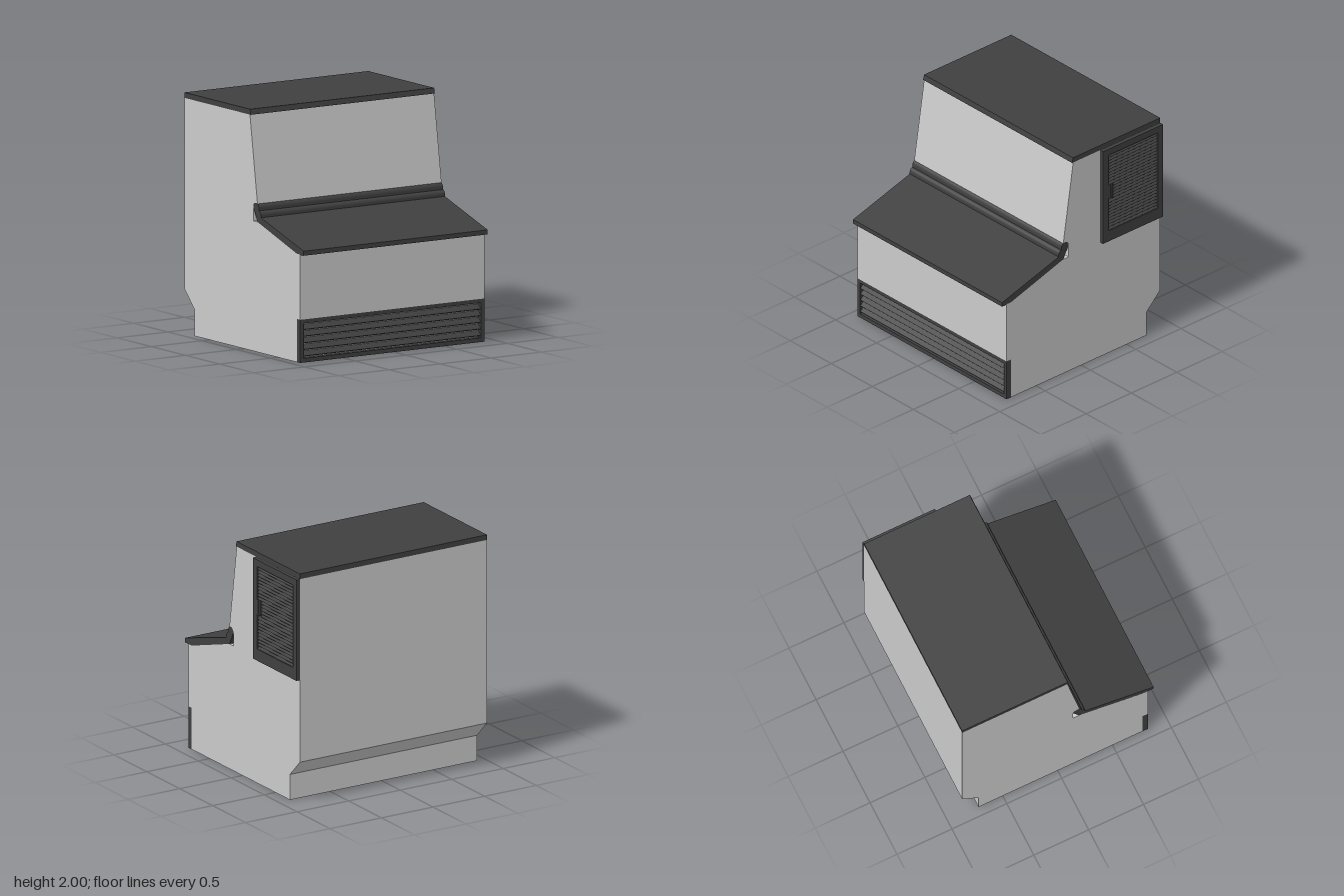
import * as THREE from 'three';

const LEFT = 0.89, RIGHT = -0.925;
const grey = new THREE.MeshStandardMaterial({ color: 0xcccccc });
const dark = new THREE.MeshStandardMaterial({ color: 0x404040 });

// Side profile drawn in (z, y), extruded from x = xMax towards -x
function sideExtrude(name, shape, material, xMax = LEFT, depth = LEFT - RIGHT) {
  const geo = new THREE.ExtrudeGeometry(shape, { depth, bevelEnabled: false, curveSegments: 8 });
  geo.rotateY(-Math.PI / 2).translate(xMax, 0, 0);
  const mesh = new THREE.Mesh(geo, material);
  mesh.name = name;
  return mesh;
}

function polygon(points) {
  return new THREE.Shape(points.map(([a, b]) => new THREE.Vector2(a, b)));
}

function rectangle(a0, b0, a1, b1) {
  return polygon([[a0, b0], [a1, b0], [a1, b1], [a0, b1]]);
}

function box(name, w, h, d, x, y, z) {
  const mesh = new THREE.Mesh(new THREE.BoxGeometry(w, h, d), dark);
  mesh.name = name;
  mesh.position.set(x, y, z);
  return mesh;
}

// Cabinet, with recesses for the kick grille and the counter trim
function buildBody() {
  const s = new THREE.Shape();
  s.moveTo(-0.72, 0);
  s.lineTo(0.775, 0);
  s.lineTo(0.775, 0.358);
  s.lineTo(0.825, 0.358);
  s.lineTo(0.825, 0.9);
  s.lineTo(0.775, 0.9);
  s.lineTo(0.2, 1.08);
  s.lineTo(0.14, 1.08);
  s.absarc(0.18, 1.195, 0.04, Math.PI, Math.PI / 3, true);
  s.lineTo(0.09, 1.955);
  s.lineTo(-0.87, 1.955);
  s.lineTo(-0.87, 0.37);
  s.lineTo(-0.72, 0.22);
  s.closePath();
  return sideExtrude('cabinetBody', s, grey);
}

// Sloping counter with the two rounded mouldings along its back edge
function buildCounter() {
  const s = new THREE.Shape();
  s.moveTo(0.14, 1.08);
  s.absarc(0.18, 1.195, 0.04, Math.PI, 0, true);
  s.lineTo(0.22, 1.174);
  s.absarc(0.215, 1.14, 0.035, Math.PI * 0.45, 0, true);
  s.lineTo(0.25, 1.122);
  s.lineTo(0.875, 0.935);
  s.lineTo(0.875, 0.897);
  s.lineTo(0.775, 0.897);
  s.lineTo(0.2, 1.08);
  s.closePath();
  return sideExtrude('slopingCounter', s, dark);
}

// Front kick grille: frame and tilted slats
function buildKickGrille() {
  const g = new THREE.Group();
  g.name = 'kickGrille';
  const shape = rectangle(RIGHT, 0, LEFT, 0.358);
  shape.holes.push(rectangle(-0.895, 0.035, 0.86, 0.325));
  const geo = new THREE.ExtrudeGeometry(shape, { depth: 0.05, bevelEnabled: false });
  const frame = new THREE.Mesh(geo.translate(0, 0, 0.775), dark);
  frame.name = 'kickGrilleFrame';
  g.add(frame);
  for (let i = 0; i < 5; i++) {
    const slat = box('kickGrilleSlat', 1.755, 0.009, 0.053, -0.0175, 0.07 + i * 0.055, 0.799);
    slat.rotation.x = Math.PI / 4;
    g.add(slat);
  }
  return g;
}

// Louvred door on the left side, with a latch tab in the opening
function buildSideVent() {
  const g = new THREE.Group();
  g.name = 'sideVent';
  const shape = rectangle(-0.87, 1.08, -0.21, 1.953);
  shape.holes.push(polygon([
    [-0.815, 1.18], [-0.272, 1.18], [-0.272, 1.48], [-0.32, 1.48],
    [-0.32, 1.61], [-0.272, 1.61], [-0.272, 1.895], [-0.815, 1.895],
  ]));
  shape.holes.push(rectangle(-0.297, 1.49, -0.289, 1.6));
  g.add(sideExtrude('sideVentFrame', shape, dark, 0.923, 0.033));

  const pitch = 0.715 / 25;
  for (let i = 0; i < 25; i++) {
    const y = 1.18 + pitch * (i + 0.5);
    const beside = y > 1.47 && y < 1.62; // shorter slats next to the latch
    const front = beside ? -0.32 : -0.272;
    const slat = box('sideVentSlat', beside ? 0.029 : 0.034, 0.005, front + 0.815,
      0.906, y, (front - 0.815) / 2);
    slat.rotation.z = -Math.PI / 4;
    g.add(slat);
  }
  return g;
}

export function createModel() {
  const model = new THREE.Group();
  model.name = 'counterCabinet';
  const lid = polygon([[-0.87, 1.955], [0.102, 1.955], [0.092, 2], [-0.87, 2]]);
  model.add(
    buildBody(),
    sideExtrude('topLid', lid, dark),
    buildCounter(),
    buildKickGrille(),
    buildSideVent(),
  );
  return model;
}
